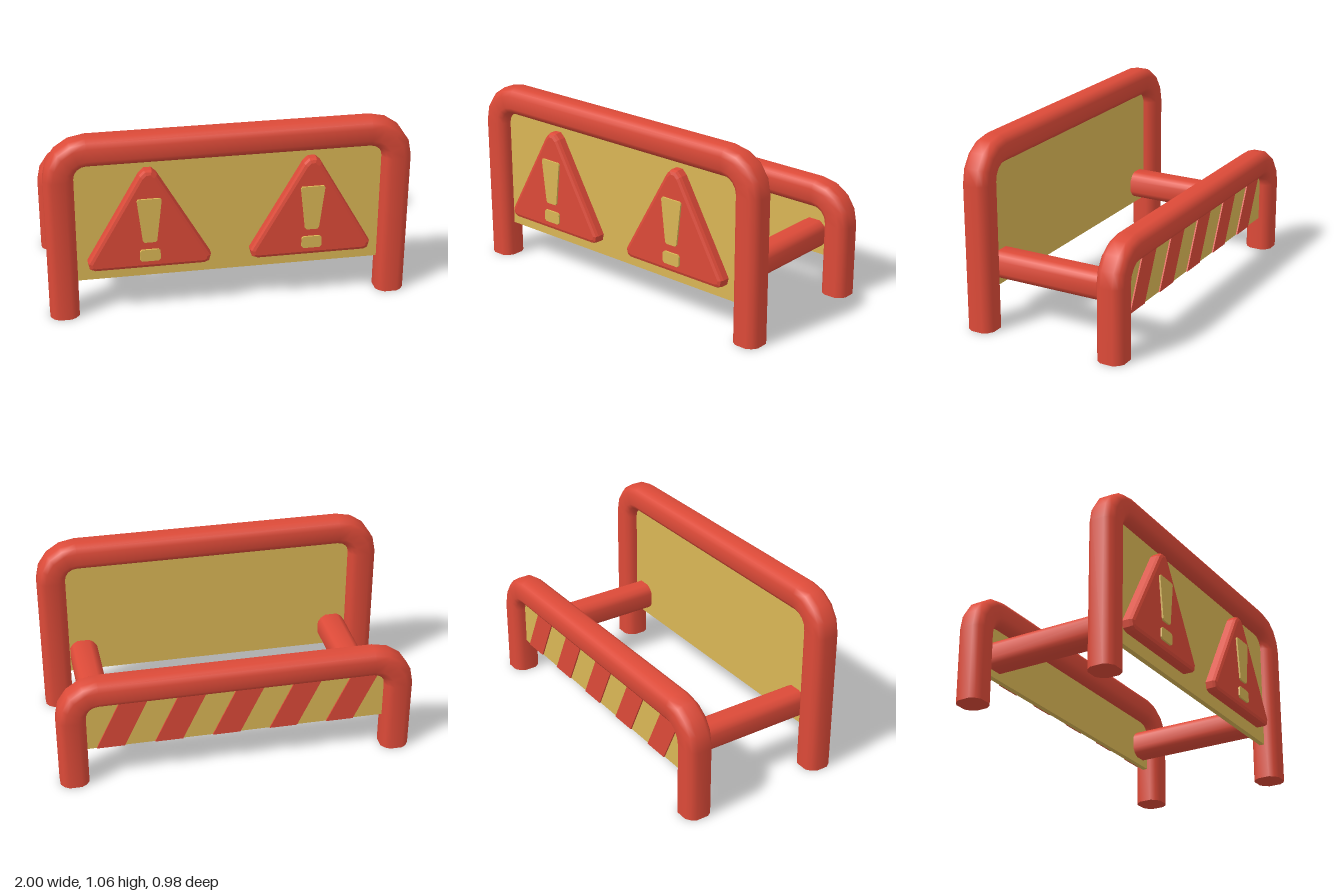
import * as THREE from 'three';

// Quarter of the rounded-square tube section, repeated four times
const QUARTER = [[0.08, -0.035], [0.08, 0.035], [0.062, 0.062]];
const SECTION = [];
for (let q = 0; q < 4; q++) {
  const c = Math.round(Math.cos(q * Math.PI / 2)), s = Math.round(Math.sin(q * Math.PI / 2));
  for (const [x, y] of QUARTER) SECTION.push([x * c - y * s, x * s + y * c]);
}

// Sweep the section along stations [x, y, angle of the outward normal], with flat end caps
function sweep(stations) {
  const pos = [], idx = [], n = SECTION.length;
  const addRing = ([x, y, a]) => {
    for (const [u, w] of SECTION) pos.push(x + Math.cos(a) * u, y + Math.sin(a) * u, w);
  };
  stations.forEach(addRing);
  for (let i = 0; i < stations.length - 1; i++) {
    for (let j = 0; j < n; j++) {
      const k = (j + 1) % n, a = i * n + j, b = i * n + k;
      idx.push(a, b, a + n, b, b + n, a + n);
    }
  }
  const start = pos.length / 3;
  addRing(stations[0]);
  const end = start + n;
  addRing(stations[stations.length - 1]);
  for (let j = 1; j < n - 1; j++) {
    idx.push(start, start + j + 1, start + j, end, end + j, end + j + 1);
  }
  const g = new THREE.BufferGeometry();
  g.setAttribute('position', new THREE.Float32BufferAttribute(pos, 3));
  g.setIndex(idx);
  g.computeVertexNormals();
  return g;
}

// Upside-down U of tube with rounded elbows
function archGeometry(topY) {
  const half = 0.92, r = 0.15, steps = 4, cy = topY - 0.08 - r;
  const st = [[-half, 0, Math.PI]];
  for (const side of [-1, 1]) {
    for (let i = 0; i <= steps; i++) {
      const a = (side < 0 ? Math.PI : Math.PI / 2) - (i / steps) * Math.PI / 2;
      st.push([side * (half - r) + r * Math.cos(a), cy + r * Math.sin(a), a]);
    }
  }
  st.push([half, 0, 0]);
  return sweep(st);
}

// Flat plate from an outline, with an optional bevel kept inside the outline
function plate(points, depth, bevel = 0) {
  const shape = new THREE.Shape(points.map(([x, y]) => new THREE.Vector2(x, y)));
  return new THREE.ExtrudeGeometry(shape, {
    depth: depth - bevel, bevelEnabled: bevel > 0, bevelThickness: bevel,
    bevelSize: bevel, bevelOffset: -bevel, bevelSegments: 2,
  });
}

export function createModel() {
  const model = new THREE.Group();
  model.name = 'warningBarrier';
  const red = new THREE.MeshStandardMaterial({ color: 0xdc4a38 });
  red.name = 'red';
  const yellow = new THREE.MeshStandardMaterial({ color: 0xdab655 });
  yellow.name = 'yellow';

  const add = (name, geometry, material, x = 0, y = 0, z = 0, parent = model) => {
    const m = new THREE.Mesh(geometry, material);
    m.name = name;
    m.position.set(x, y, z);
    parent.add(m);
    return m;
  };

  // Tube frames and the panels set into them
  const frames = [['front', 1.06, 0.402], ['back', 0.65, -0.405]];
  for (const [name, top, z] of frames) {
    add(name + 'Frame', archGeometry(top), red, 0, 0, z);
    const low = 0.205, high = top - 0.11;
    add(name + 'Panel', new THREE.BoxGeometry(1.72, high - low, 0.03), yellow, 0, (low + high) / 2, z);
  }

  // Bars joining the two panels
  for (const side of [-1, 1]) {
    const bar = add('crossBar', sweep([[-0.395, 0, Math.PI / 2], [0.395, 0, Math.PI / 2]]), red, side * 0.755, 0.325, 0);
    bar.rotation.y = Math.PI / 2;
  }

  // Warning triangles with raised exclamation marks
  const right = [[0.3, 0.28], [0.328, 0.292], [0.337, 0.33], [0.048, 0.835], [0.02, 0.862]];
  const triangle = [...right, ...right.map(([x, y]) => [-x, y]).reverse()];
  const stroke = [[-0.03, 0.445], [0.03, 0.445], [0.039, 0.455], [0.067, 0.695], [0.06, 0.705],
    [-0.06, 0.705], [-0.067, 0.695], [-0.039, 0.455]];
  const dot = [[-0.045, 0.33], [0.045, 0.33], [0.056, 0.341], [0.056, 0.389], [0.045, 0.4],
    [-0.045, 0.4], [-0.056, 0.389], [-0.056, 0.341]];
  for (const side of [-1, 1]) {
    const sign = new THREE.Group();
    sign.name = 'warningSign';
    sign.position.x = side * 0.447;
    model.add(sign);
    add('triangle', plate(triangle, 0.07, 0.022), red, 0, 0, 0.41, sign);
    add('markStroke', plate(stroke, 0.012), yellow, 0, 0, 0.478, sign);
    add('markDot', plate(dot, 0.012), yellow, 0, 0, 0.478, sign);
  }

  // Slanted stripes on the back panel
  const w = 0.078, lean = 0.154;
  const stripe = plate([[-w, 0.206], [w, 0.206], [w - lean, 0.53], [-w - lean, 0.53]], 0.009);
  for (let i = 0; i < 5; i++) add('stripe', stripe, red, 0.71 - i * 0.325, 0, -0.428);

  return model;
}
